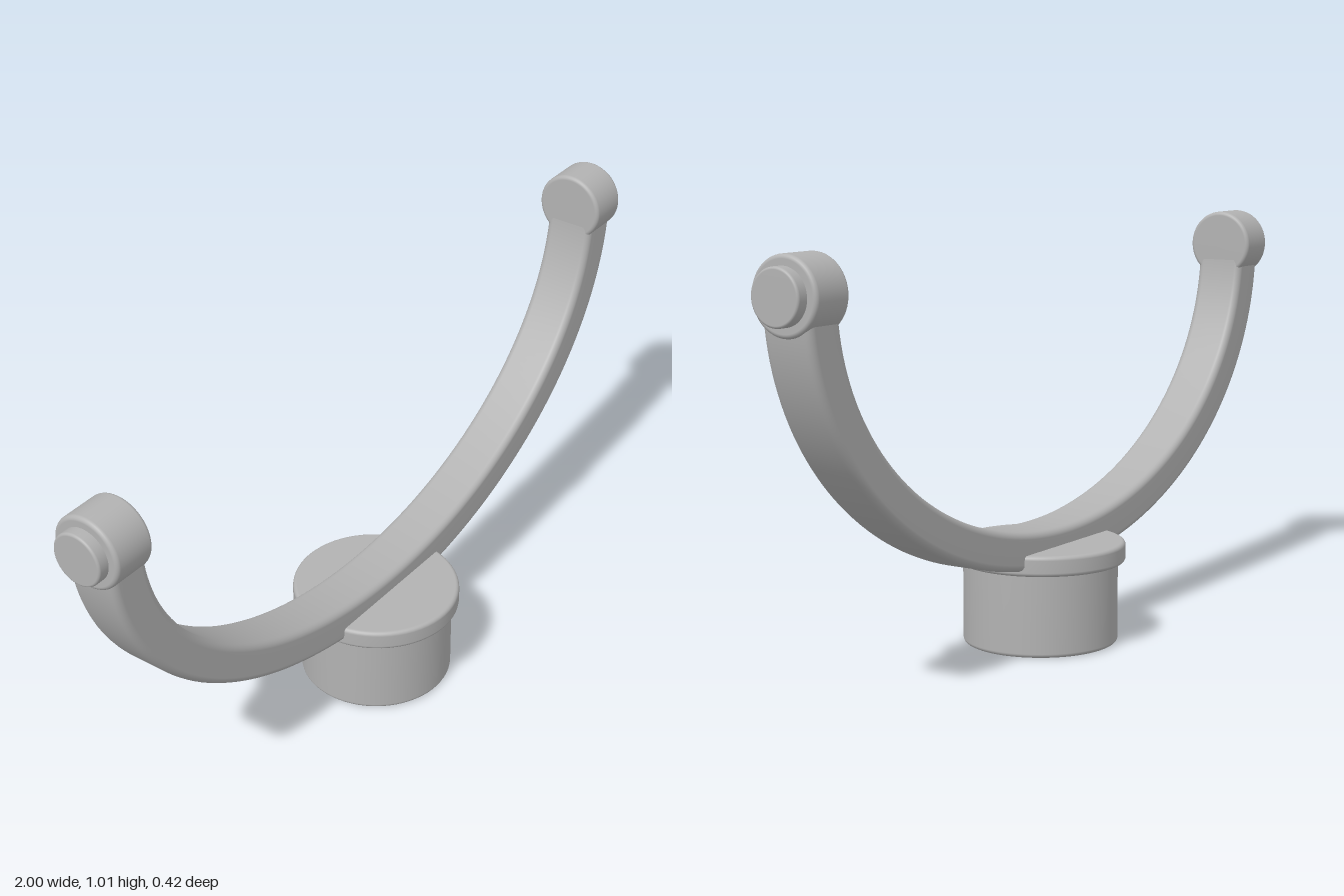
import * as THREE from 'three';

const ARM_Z = -0.015; // the arm sits slightly behind the base centre
const PIVOT_Y = 0.92;

// Solid of revolution (axis y) with rounded top and bottom edges
function roundedDisc(radius, y0, y1, bevel) {
  const pts = [new THREE.Vector2(0, y0)];
  const n = 5;
  for (let i = 0; i <= n; i++) {
    const a = -Math.PI / 2 + (i / n) * Math.PI / 2;
    pts.push(new THREE.Vector2(radius - bevel + bevel * Math.cos(a), y0 + bevel + bevel * Math.sin(a)));
  }
  for (let i = 0; i <= n; i++) {
    const a = (i / n) * Math.PI / 2;
    pts.push(new THREE.Vector2(radius - bevel + bevel * Math.cos(a), y1 - bevel + bevel * Math.sin(a)));
  }
  pts.push(new THREE.Vector2(0, y1));
  return new THREE.LatheGeometry(pts, 64);
}

// Rounded-rectangle section swept along a half ellipse
function armGeometry() {
  const inner = { x: 0.865, y: 0.628 }, outer = { x: 0.97, y: 0.722 };
  const thick = 0.1, halfZ = 0.064, r = 0.018, corner = 5, steps = 96;
  const section = [];
  const corners = [[thick - r, halfZ - r], [r, halfZ - r], [r, r - halfZ], [thick - r, r - halfZ]];
  corners.forEach(([cu, cz], k) => {
    for (let i = 0; i <= corner; i++) {
      const a = (k + i / corner) * Math.PI / 2;
      section.push([(cu + r * Math.cos(a)) / thick, cz + r * Math.sin(a)]);
    }
  });
  const pos = [], index = [], m = section.length;
  for (let i = 0; i <= steps; i++) {
    const t = (i / steps) * Math.PI;
    for (const [u, z] of section) {
      pos.push(
        THREE.MathUtils.lerp(inner.x, outer.x, u) * Math.cos(t),
        PIVOT_Y - THREE.MathUtils.lerp(inner.y, outer.y, u) * Math.sin(t),
        ARM_Z + z
      );
    }
  }
  for (let i = 0; i < steps; i++) {
    for (let j = 0; j < m; j++) {
      const a = i * m + j, b = i * m + (j + 1) % m;
      index.push(a, b, a + m, b, b + m, a + m);
    }
  }
  const g = new THREE.BufferGeometry();
  g.setAttribute('position', new THREE.Float32BufferAttribute(pos, 3));
  g.setIndex(index);
  g.computeVertexNormals();
  return g;
}

export function createModel() {
  const group = new THREE.Group();
  group.name = 'yokeStand';
  const grey = new THREE.MeshStandardMaterial({ color: 0xb2b2b2 });
  grey.name = 'grey';

  const add = (name, geometry, parent = group) => {
    const mesh = new THREE.Mesh(geometry, grey);
    mesh.name = name;
    parent.add(mesh);
    return mesh;
  };

  // Round foot and its flange
  add('foot', roundedDisc(0.189, 0, 0.21, 0.01));
  add('flange', roundedDisc(0.209, 0.2, 0.25, 0.01)).scale.x = 0.975;

  // Curved yoke
  add('yokeArm', armGeometry());

  // Pivot hubs with a smaller outer cap at each tip
  for (const side of [1, -1]) {
    const pivot = new THREE.Group();
    pivot.name = side > 0 ? 'leftPivot' : 'rightPivot';
    pivot.position.set(0, PIVOT_Y, ARM_Z - 0.001);
    pivot.rotation.z = -side * Math.PI / 2;
    add('hub', roundedDisc(0.087, 0.863, 0.972, 0.01), pivot);
    add('cap', roundedDisc(0.063, 0.96, 1.0, 0.006), pivot);
    group.add(pivot);
  }
  return group;
}
